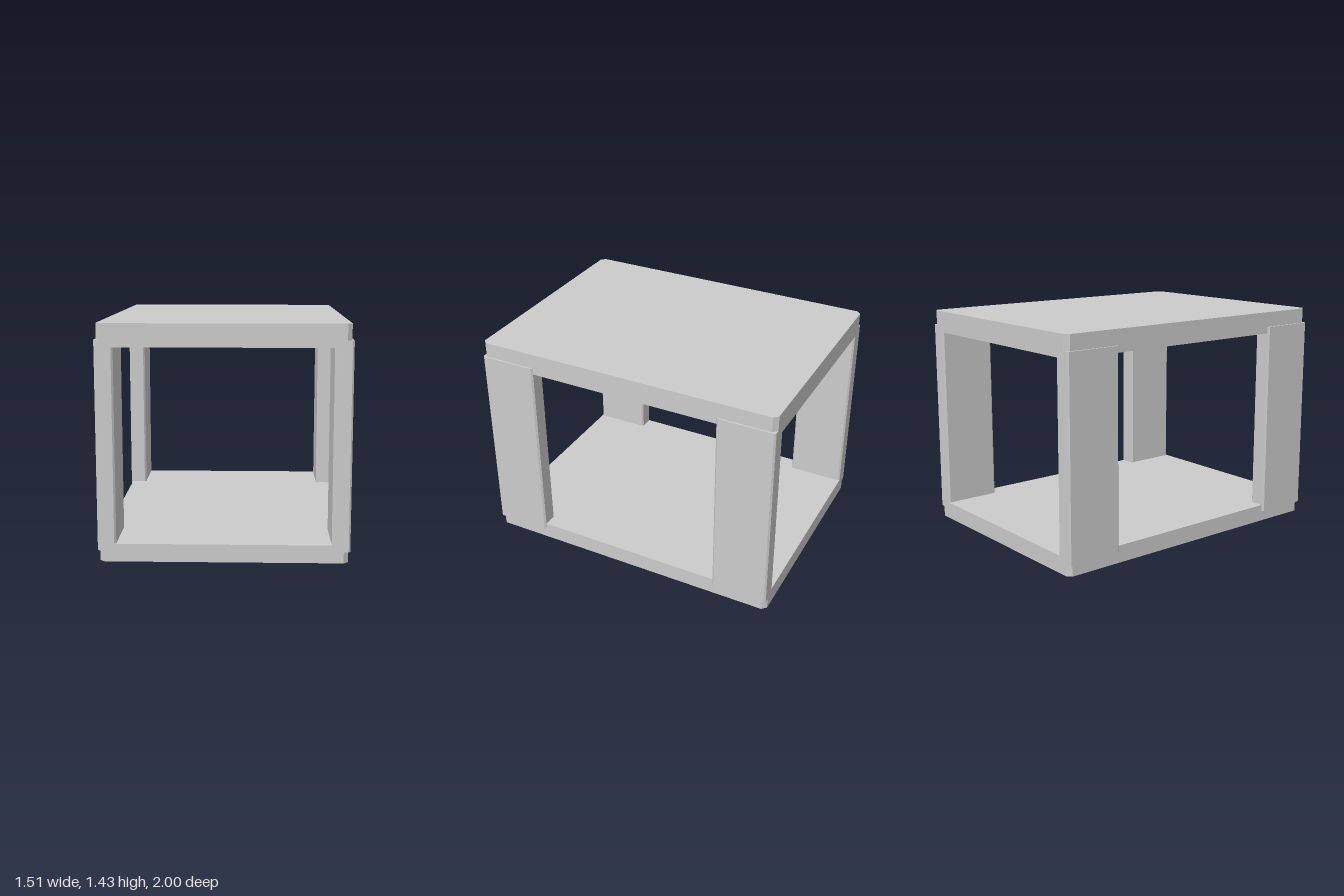
import * as THREE from 'three';

// Upright block with its four vertical edges chamfered, standing on y = 0
function chamferedBlock(width, height, depth, c) {
  const w = width / 2, d = depth / 2;
  const shape = new THREE.Shape([
    [w - c, -d], [w, -d + c], [w, d - c], [w - c, d],
    [-w + c, d], [-w, d - c], [-w, -d + c], [-w + c, -d],
  ].map(([x, y]) => new THREE.Vector2(x, y)));
  return new THREE.ExtrudeGeometry(shape, { depth: height, bevelEnabled: false })
    .rotateX(-Math.PI / 2);
}

export function createModel() {
  const model = new THREE.Group();
  model.name = 'openFrameStand';
  const grey = new THREE.MeshStandardMaterial({ color: 0xcccccc });
  grey.name = 'light grey';

  const add = (name, geometry, x, y, z) => {
    const mesh = new THREE.Mesh(geometry, grey);
    mesh.name = name;
    mesh.position.set(x, y, z);
    model.add(mesh);
  };

  // Base and top slabs
  add('baseSlab', chamferedBlock(1.49, 0.11, 2, 0.028), 0, 0, 0);
  add('topSlab', chamferedBlock(1.49, 0.14, 2, 0.028), 0, 1.29, 0);

  // Four flat corner posts, let into the slabs and standing slightly proud at the sides
  const post = chamferedBlock(0.112, 1.265, 0.37, 0.011);
  for (const [side, sx] of [['Left', 1], ['Right', -1]]) {
    for (const [end, sz] of [['front', 1], ['back', -1]]) {
      add(`${end}${side}Post`, post, sx * 0.701, 0.068, sz * 0.815);
    }
  }
  return model;
}
